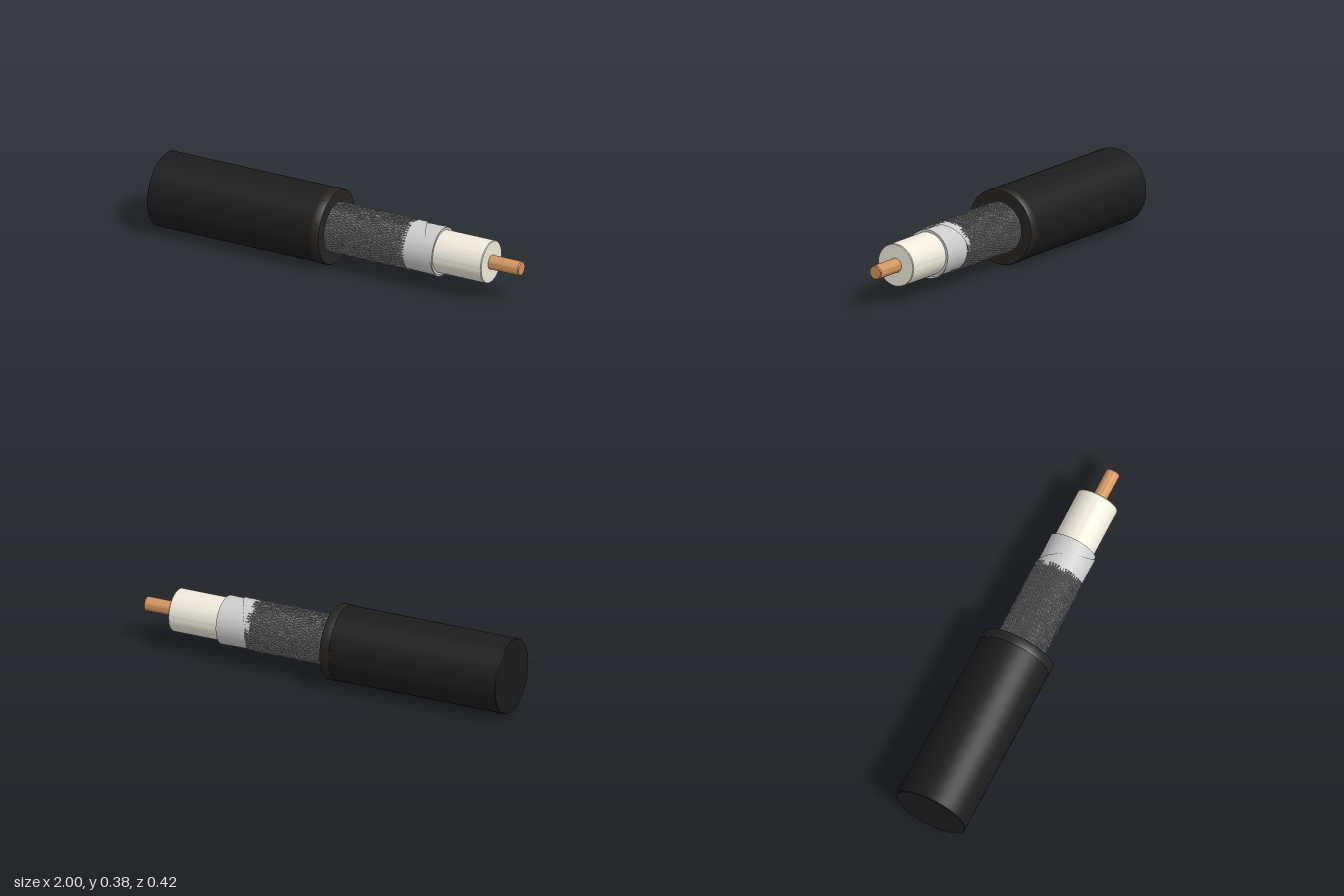
import * as THREE from 'three';
import { mergeGeometries, toCreasedNormals } from 'three/addons/utils/BufferGeometryUtils.js';

const mat = (color, side = THREE.FrontSide) => new THREE.MeshStandardMaterial({ color, side });

// Solid of revolution along +x; profile rows are [position along axis, radius]
function turned(name, color, profile) {
  const pts = profile.map(([s, r]) => new THREE.Vector2(r, s));
  const geo = new THREE.LatheGeometry(pts, 72).rotateZ(-Math.PI / 2);
  const mesh = new THREE.Mesh(toCreasedNormals(geo, 0.5), mat(color));
  mesh.name = name;
  return mesh;
}

// Point on the cable: s along the axis, angle from the front (+z) towards the top
const polar = (s, r, a) => new THREE.Vector3(s, r * Math.sin(a), r * Math.cos(a));

// Fine wires running in opposite helices, passing over and under each other
function braid(start, end) {
  const carriers = 18, wires = 3, steps = 40, sides = 4, twist = 1.3;
  const strands = [];
  for (const dir of [1, -1]) {
    for (let c = 0; c < carriers; c++) {
      for (let w = 0; w < wires; w++) {
        const a0 = ((c + (w + 0.5) / wires) / carriers) * Math.PI * 2;
        const pts = [];
        for (let i = 0; i <= steps; i++) {
          const t = i / steps;
          const swing = t * twist * carriers + (dir > 0 ? 0 : Math.PI) + c * Math.PI;
          const r = 0.1245 + 0.002 * Math.sin(swing);
          pts.push(polar(start + t * (end - start), r, a0 + dir * t * twist));
        }
        strands.push(new THREE.TubeGeometry(new THREE.CatmullRomCurve3(pts), steps, 0.0034, sides));
      }
    }
  }
  const mesh = new THREE.Mesh(mergeGeometries(strands), mat(0x8c8c8c));
  mesh.name = 'braidWires';
  return mesh;
}

// Foil tape wound in a helix, each turn climbing over the edge of the one before
function foil(start, end) {
  const rows = 24, cols = 96, pos = [], idx = [];
  for (let i = 0; i <= rows; i++) {
    const s = start + (i / rows) * (end - start);
    const seam = Math.PI / 2 - ((s - 0.47) / 0.08) * (Math.PI / 2);
    for (let j = 0; j <= cols; j++) {
      const k = j / cols;
      const r = 0.121 + 0.006 * k;
      pos.push(...polar(s, r, seam + k * Math.PI * 2).toArray());
    }
  }
  for (let i = 0; i < rows; i++) {
    for (let j = 0; j < cols; j++) {
      const a = i * (cols + 1) + j, b = a + cols + 1;
      idx.push(a, b, a + 1, b, b + 1, a + 1);
    }
  }
  const geo = new THREE.BufferGeometry();
  geo.setAttribute('position', new THREE.Float32BufferAttribute(pos, 3));
  geo.setIndex(idx);
  geo.computeVertexNormals();
  // Face outwards: flip the winding if the first normal points to the axis
  const n = geo.attributes.normal, p = geo.attributes.position;
  if (n.getY(5) * p.getY(5) + n.getZ(5) * p.getZ(5) < 0) {
    geo.setIndex(idx.reverse());
    geo.computeVertexNormals();
  }
  const mesh = new THREE.Mesh(geo, mat(0xd6d6d6, THREE.DoubleSide));
  mesh.name = 'foilWrap';
  return mesh;
}

export function createModel() {
  const cable = new THREE.Group();
  cable.name = 'cable';

  // Outer jacket with its bore, and the raised lip at the cut end
  cable.add(turned('jacket', 0x1c1c1c, [
    [-0.992, 0], [-0.992, 0.186], [-0.989, 0.189], [-0.04, 0.189], [-0.04, 0.128], [-0.2, 0.128],
  ]));
  cable.add(turned('jacketLip', 0x262422, [
    [-0.086, 0.186], [-0.084, 0.1905], [-0.08, 0.1915], [-0.04, 0.1915],
    [-0.035, 0.189], [-0.035, 0.129], [-0.086, 0.129],
  ]));

  // Braided shield over a dark sleeve
  cable.add(turned('braidSleeve', 0x5a5a5a, [[-0.12, 0], [-0.12, 0.1235], [0.4, 0.1235], [0.4, 0.1]]));
  cable.add(braid(-0.1, 0.404));

  // Foil, insulating core and centre wire
  cable.add(foil(0.38, 0.562));
  cable.add(turned('foilInnerLayer', 0xd6d6d6, [[0.38, 0.1], [0.38, 0.12], [0.56, 0.12], [0.56, 0.1]]));
  cable.add(turned('insulator', 0xeeeadc, [
    [0.35, 0], [0.35, 0.108], [0.826, 0.108], [0.83, 0.105], [0.83, 0],
  ]));
  cable.add(turned('centreWire', 0xd2955f, [
    [0.8, 0], [0.8, 0.036], [0.994, 0.036], [0.999, 0.032], [0.999, 0],
  ]));

  // Lies flat, turned slightly towards the front
  cable.rotation.y = -0.0436;
  cable.position.set(0, 0.1915, 0.0165);

  const model = new THREE.Group();
  model.name = 'strippedCable';
  model.add(cable);
  return model;
}
